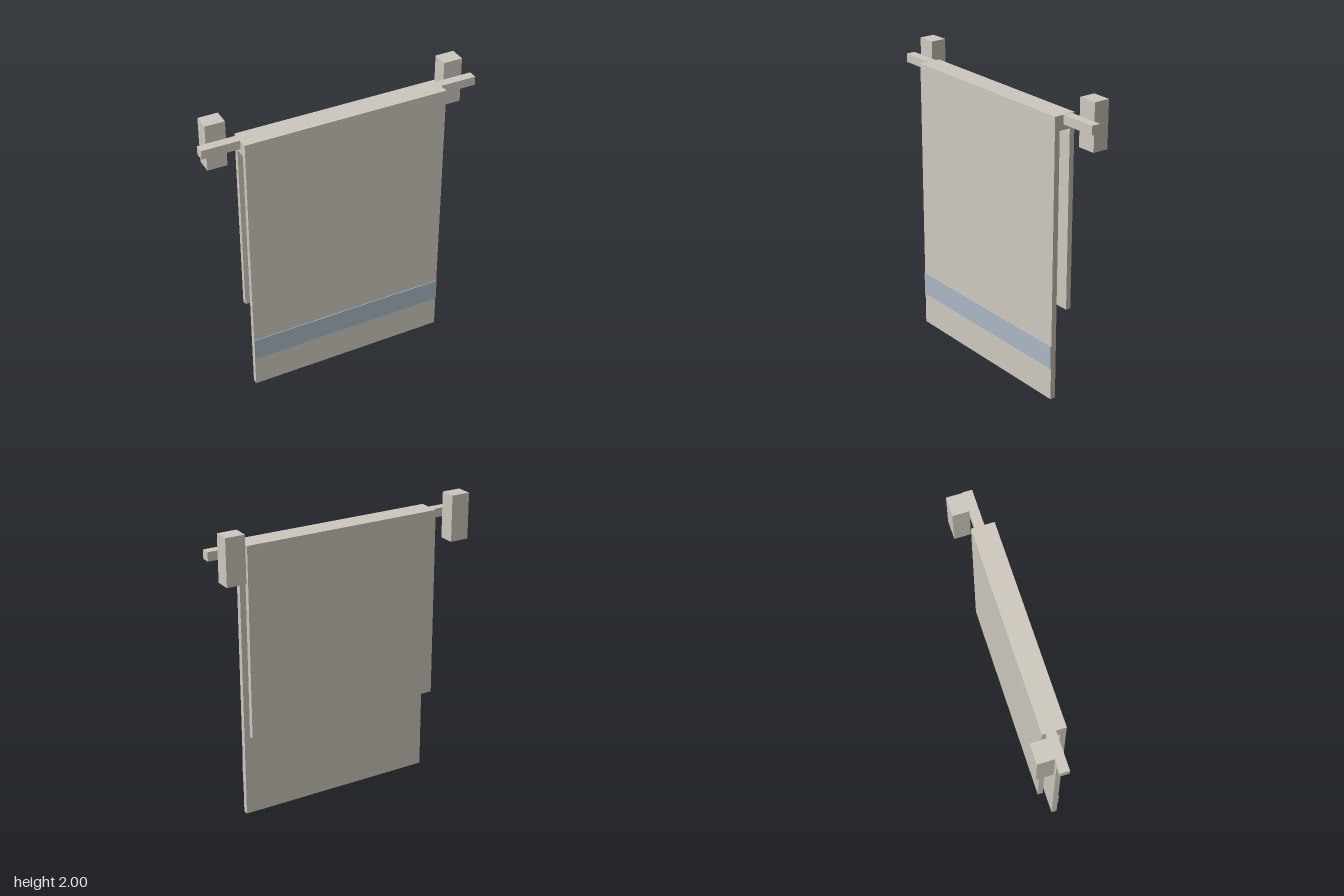
import * as THREE from 'three';

export function createModel() {
  const group = new THREE.Group();
  const linen = new THREE.MeshStandardMaterial({ name: 'linen', color: 0xcec8be });
  const blue = new THREE.MeshStandardMaterial({ name: 'stripeBlue', color: 0xaab7c3 });

  // Box given by its minimum and maximum corners
  const box = (name, material, min, max) => {
    const size = max.map((v, i) => v - min[i]);
    const mesh = new THREE.Mesh(new THREE.BoxGeometry(...size), material);
    mesh.position.set(...min.map((v, i) => v + size[i] / 2));
    mesh.name = name;
    group.add(mesh);
    return mesh;
  };

  // Towel: folded side profile (z, y) with a long front and a short back
  const halfWidth = 0.685;
  const profile = new THREE.Shape([
    [0.12, 0], [0.12, 1.89], [-0.03, 1.89], [-0.03, 0.6],
    [0.005, 0.6], [0.005, 1.795], [0.083, 1.795], [0.083, 0],
  ].map(([z, y]) => new THREE.Vector2(-z, y)));
  const towelGeometry = new THREE.ExtrudeGeometry(profile, { depth: halfWidth * 2, bevelEnabled: false });
  towelGeometry.translate(0, 0, -halfWidth);
  towelGeometry.rotateY(Math.PI / 2);
  const towel = new THREE.Mesh(towelGeometry, linen);
  towel.name = 'towel';
  group.add(towel);

  // Coloured band near the lower hem
  box('stripe', blue, [-halfWidth, 0.22, 0.119], [halfWidth, 0.377, 0.125]);

  // Rail through the fold
  box('rail', linen, [-0.935, 1.83, -0.006], [0.935, 1.889, 0.055]);

  // Wall brackets
  for (const side of [-1, 1]) {
    const bracket = box(side > 0 ? 'leftBracket' : 'rightBracket', linen,
      [-0.065, 1.69, -0.125], [0.065, 2, -0.017]);
    bracket.position.x = side * 0.81;
  }

  return group;
}
